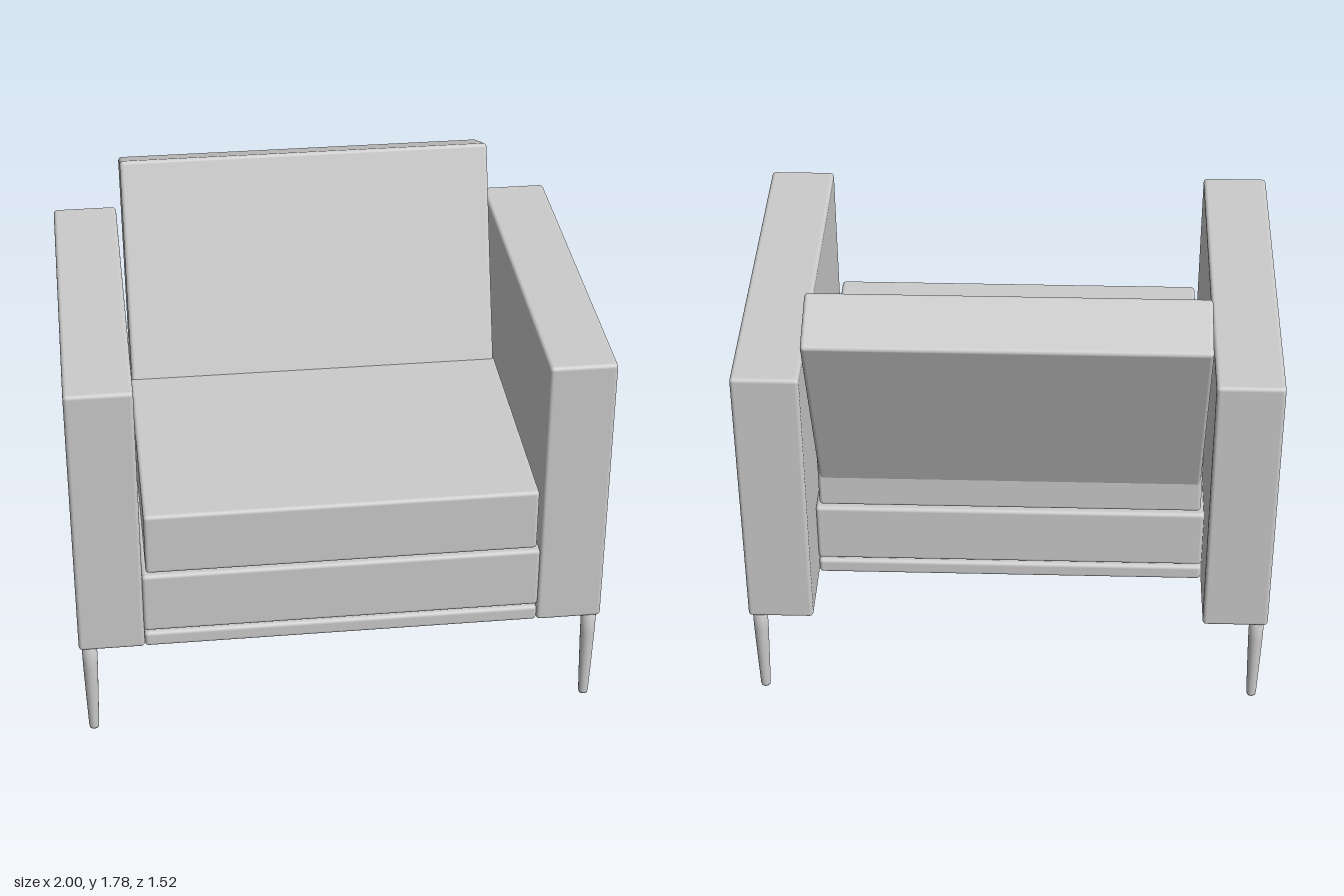
import * as THREE from 'three';
import { RoundedBoxGeometry } from 'three/addons/geometries/RoundedBoxGeometry.js';

const material = new THREE.MeshStandardMaterial({ color: 0xcccccc });

// Softly rounded upholstered block
function block(name, size, position, radius = 0.015) {
  const mesh = new THREE.Mesh(new RoundedBoxGeometry(...size, 4, radius), material);
  mesh.name = name;
  mesh.position.set(...position);
  return mesh;
}

// Same block, given by its extents
function span(name, [x0, x1], [y0, y1], [z0, z1], radius) {
  return block(name, [x1 - x0, y1 - y0, z1 - z0],
    [(x0 + x1) / 2, (y0 + y1) / 2, (z0 + z1) / 2], radius);
}

export function createModel() {
  const chair = new THREE.Group();
  chair.name = 'armchair';

  // Arms: full-depth slabs
  chair.add(span('leftArm', [0.75, 1], [0.385, 1.51], [-0.7, 0.755]));
  chair.add(span('rightArm', [-1, -0.75], [0.385, 1.51], [-0.7, 0.755]));

  // Stacked seat: rail, platform and loose cushion with thin gaps between
  chair.add(span('baseRail', [-0.75, 0.75], [0.385, 0.448], [-0.43, 0.753]));
  chair.add(span('seatPlatform', [-0.752, 0.752], [0.458, 0.71], [-0.43, 0.755]));
  chair.add(span('seatCushion', [-0.736, 0.736], [0.725, 0.98], [-0.43, 0.76]));

  // Reclined back cushion, its lower edge sunk into the seat cushion
  const back = block('backCushion', [1.46, 1.02, 0.245], [0, 1.268, -0.461]);
  back.rotation.x = -0.38;
  chair.add(back);

  // Slim tapered legs at the outer corners
  const profile = [[0, 0], [0.017, 0], [0.019, 0.01], [0.024, 0.16], [0.028, 0.3], [0.029, 0.39], [0, 0.39]]
    .map(([r, y]) => new THREE.Vector2(r, y));
  const legGeometry = new THREE.LatheGeometry(profile, 24);
  for (const [side, x] of [['left', 0.96], ['right', -0.96]]) {
    for (const [end, z] of [['Front', 0.727], ['Rear', -0.66]]) {
      const leg = new THREE.Mesh(legGeometry, material);
      leg.name = `${side}${end}Leg`;
      leg.position.set(x, 0, z);
      chair.add(leg);
    }
  }
  return chair;
}
